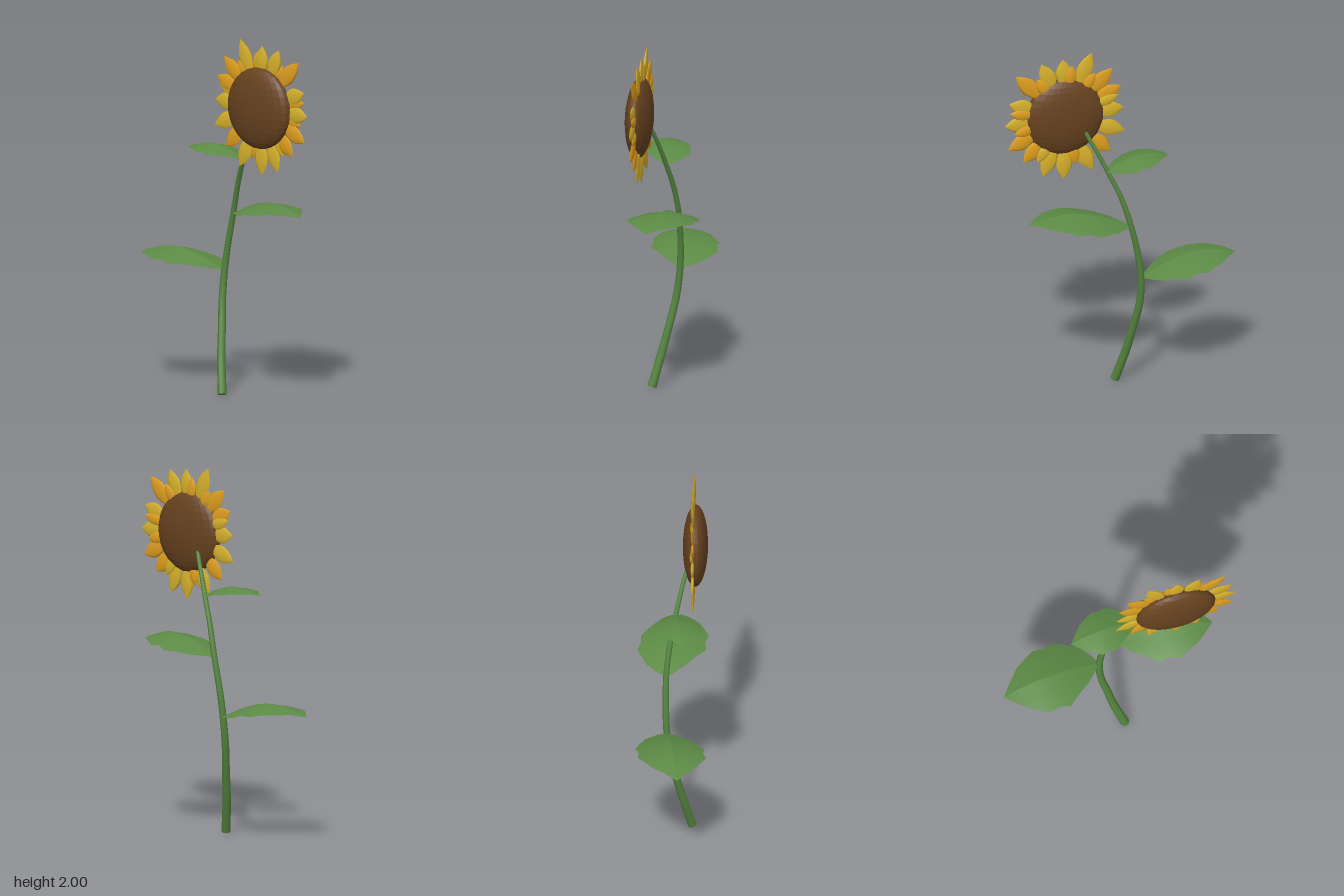
import * as THREE from 'three';

const V = (x, y, z) => new THREE.Vector3(x, y, z);
const mat = (name, color, extra = {}) => {
  const m = new THREE.MeshStandardMaterial({ color, ...extra });
  m.name = name;
  return m;
};

// Tapered stem: a tube whose rings shrink towards the top, closed at both ends
function stemGeometry(points, r0, r1) {
  const curve = new THREE.CatmullRomCurve3(points);
  const rings = 32, sides = 10;
  const g = new THREE.TubeGeometry(curve, rings, 1, sides);
  const p = g.attributes.position, v = V();
  for (let i = 0; i <= rings; i++) {
    const c = curve.getPointAt(i / rings);
    const r = THREE.MathUtils.lerp(r0, r1, i / rings);
    for (let j = 0; j <= sides; j++) {
      const k = i * (sides + 1) + j;
      v.fromBufferAttribute(p, k).sub(c).multiplyScalar(r).add(c);
      p.setXYZ(k, v.x, v.y, v.z);
    }
  }
  g.computeVertexNormals();
  return { g, curve };
}

// Leaf outline sections: distance from base, back edge z, front edge z
const LEAF = [
  [0, -0.01, 0.01], [0.02, -0.045, 0.04], [0.085, -0.112, 0.11], [0.15, -0.14, 0.16],
  [0.213, -0.165, 0.213], [0.27, -0.144, 0.207], [0.329, -0.147, 0.225], [0.385, -0.11, 0.2],
  [0.442, -0.07, 0.172], [0.5, 0, 0.125], [0.554, 0.069, 0.071],
];

// Arched blade with drooping edges and a raised midrib; side = 1 or -1 along x
function leafGeometry(side) {
  const pos = [], idx = [], n = 7;
  for (const [x, zb, zf] of LEAF) {
    const t = x / 0.554;
    const y = 0.098 * Math.sin(Math.PI * 0.85 * t) + 0.001 * t;
    const mid = 0.07 * t, rib = 0.007 * Math.sin(Math.PI * Math.min(1, t * 0.9 + 0.08));
    const zs = [zb, (zb + mid) / 2, mid - rib, mid, mid + rib, (zf + mid) / 2, zf];
    zs.forEach((z, i) => {
      const d = Math.abs(z - mid) / 0.18;
      pos.push(side * x, y - 0.04 * d * d - (i === 3 ? 0 : 0.01 * Math.min(1, rib / 0.007)), z);
    });
  }
  for (let r = 0; r < LEAF.length - 1; r++) {
    for (let i = 0; i < n - 1; i++) {
      const a = r * n + i, b = a + 1, c = a + n, d = c + 1;
      if (side > 0) idx.push(a, b, c, b, d, c);
      else idx.push(a, c, b, b, c, d);
    }
  }
  const g = new THREE.BufferGeometry();
  g.setAttribute('position', new THREE.Float32BufferAttribute(pos, 3));
  g.setIndex(idx);
  g.computeVertexNormals();
  return g;
}

// Pointed, lens-shaped petal running from radius r0 to r1 along +y
function petalGeometry(r0, r1, halfWidth) {
  const g = new THREE.SphereGeometry(1, 8, 10);
  const p = g.attributes.position;
  for (let i = 0; i < p.count; i++) {
    const t = THREE.MathUtils.clamp((p.getY(i) + 1) / 2, 0, 1);
    const ring = Math.hypot(p.getX(i), p.getZ(i)) || 1;
    const w = Math.max(0, Math.sin(Math.PI * Math.pow(t, 1.15)));
    p.setXYZ(i, (p.getX(i) / ring) * w * halfWidth, r0 + t * (r1 - r0), (p.getZ(i) / ring) * w * 0.01);
  }
  g.computeVertexNormals();
  return g;
}

export function createModel() {
  const model = new THREE.Group();
  model.name = 'flower';
  const stemGreen = mat('stem green', 0x54833f);
  const leafGreen = mat('leaf green', 0x5c8a45, { side: THREE.DoubleSide });
  const brown = mat('seed brown', 0x67421f, { flatShading: true });
  const yellow = mat('petal yellow', 0xd8b32c);
  const orange = mat('petal orange', 0xe0a01f);
  const add = (parent, name, g, m) => {
    const mesh = new THREE.Mesh(g, m);
    mesh.name = name;
    parent.add(mesh);
    return mesh;
  };

  // Stem
  const r0 = 0.025, r1 = 0.011;
  const { g, curve } = stemGeometry([
    V(0.015, 0.008, 0.105), V(-0.035, 0.2, 0.058), V(-0.065, 0.36, 0.02), V(-0.09, 0.5, -0.01),
    V(-0.092, 0.66, -0.03), V(-0.075, 0.8, -0.037), V(-0.03, 1.0, -0.036), V(0.022, 1.17, -0.016),
    V(0.08, 1.3, 0.01), V(0.125, 1.4, 0.033), V(0.17, 1.49, 0.056), V(0.2, 1.55, 0.075),
  ], r0, r1);
  add(model, 'stem', g, stemGreen);
  for (const [t, r, dir] of [[0, r0, -1], [1, r1, 1]]) {
    const cap = add(model, 'stemCap', new THREE.CircleGeometry(r, 10), stemGreen);
    cap.position.copy(curve.getPointAt(t));
    cap.quaternion.setFromUnitVectors(V(0, 0, 1), curve.getTangentAt(t).multiplyScalar(dir));
  }

  // Leaves: side, base position, scale
  for (const [side, x, y, z, s] of [
    [-1, -0.1, 0.67, -0.035, 1], [1, -0.022, 0.995, -0.035, 1], [-1, 0.098, 1.315, 0.012, 0.68],
  ]) {
    const leaf = add(model, 'leaf', leafGeometry(side), leafGreen);
    leaf.position.set(x, y, z);
    leaf.scale.setScalar(s);
  }

  // Flower head
  const head = new THREE.Group();
  head.name = 'flowerHead';
  head.position.set(0.301, 1.634, 0.117);
  model.add(head);
  const disc = add(head, 'seedDisc', new THREE.SphereGeometry(1, 24, 16), brown);
  disc.scale.set(0.225, 0.225, 0.069);

  // Petals: angle in degrees, tip radius, orange or not
  const petals = [
    [112.6, 0.396, 0], [88, 0.348, 0], [68, 0.363, 0], [45, 0.4, 1], [20.4, 0.342, 0], [-2, 0.347, 0],
    [-25.6, 0.363, 1], [-45.6, 0.34, 1], [-70, 0.368, 0], [-89, 0.375, 0], [-114.6, 0.375, 0],
    [-137, 0.352, 1], [-159, 0.365, 0], [178, 0.336, 0], [155.5, 0.352, 1], [136.7, 0.374, 1],
  ];
  for (const [deg, tip, warm] of petals) {
    const petal = add(head, 'petal', petalGeometry(0.16, tip, 0.047), warm ? orange : yellow);
    petal.position.z = -0.012;
    petal.rotation.z = THREE.MathUtils.degToRad(deg - 90);
  }
  // Shorter petals tucked into the gaps
  for (const [deg, tip, warm] of [[97, 0.31, 1], [163, 0.32, 0], [11, 0.325, 1], [57, 0.3, 1], [-58, 0.3, 0], [-102, 0.3, 1], [-13, 0.3, 1], [125, 0.3, 1]]) {
    const petal = add(head, 'smallPetal', petalGeometry(0.16, tip, 0.034), warm ? orange : yellow);
    petal.position.z = -0.017;
    petal.rotation.z = THREE.MathUtils.degToRad(deg - 90);
  }
  return model;
}
